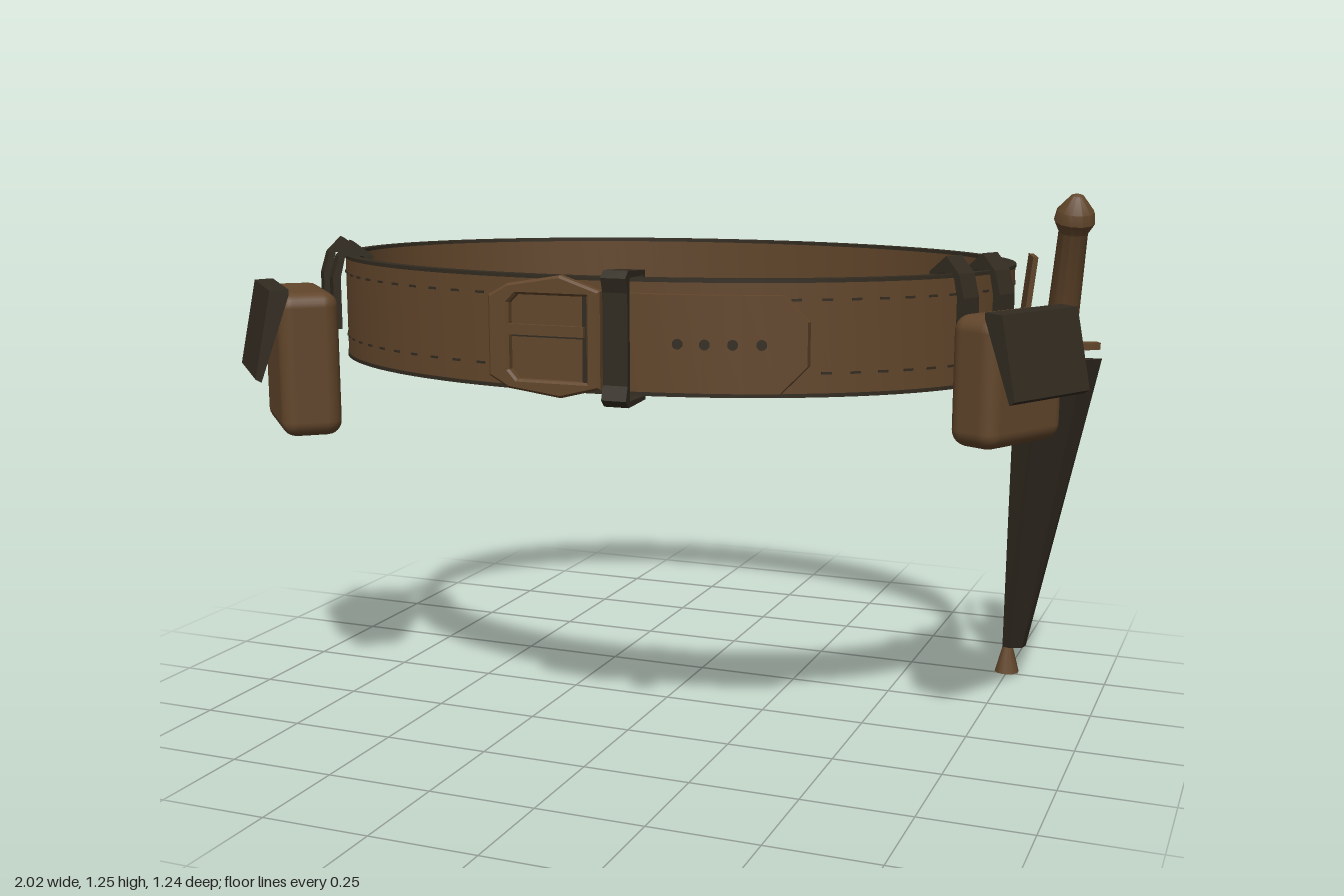
import * as THREE from 'three';
import { mergeGeometries, toCreasedNormals } from 'three/addons/utils/BufferGeometryUtils.js';
import { RoundedBoxGeometry } from 'three/addons/geometries/RoundedBoxGeometry.js';

const leather = new THREE.MeshStandardMaterial({ color: 0x62462b });
leather.name = 'brown leather';
const dark = new THREE.MeshStandardMaterial({ color: 0x322b20 });
dark.name = 'dark leather';

const BELT = { x: -0.01, z: -0.035, rx: 0.82, rz: 0.58, lo: 0.85, hi: 1.095 };

function add(parent, name, geometry, material, x = 0, y = 0, z = 0) {
  const mesh = new THREE.Mesh(geometry, material);
  mesh.name = name;
  mesh.position.set(x, y, z);
  parent.add(mesh);
  return mesh;
}

// Skin a list of equal-length rings and cap both ends
function loft(rings, crease = 0.5) {
  const n = rings[0].length, index = [];
  for (let s = 0; s < rings.length - 1; s++) {
    for (let i = 0; i < n; i++) {
      const a = s * n + i, b = s * n + (i + 1) % n;
      index.push(a, b, b + n, a, b + n, a + n);
    }
  }
  const end = (rings.length - 1) * n;
  for (let i = 1; i < n - 1; i++) index.push(0, i + 1, i, end, end + i, end + i + 1);
  const g = new THREE.BufferGeometry();
  g.setAttribute('position', new THREE.Float32BufferAttribute(rings.flat(2), 3));
  g.setIndex(index);
  return toCreasedNormals(g, crease);
}

// Elliptical band standing between two heights
function band(lo, hi, grow) {
  const shape = new THREE.Shape();
  shape.absellipse(0, 0, BELT.rx + grow, BELT.rz + grow, 0, Math.PI * 2);
  const hole = new THREE.Path();
  hole.absellipse(0, 0, BELT.rx - 0.02 - grow, BELT.rz - 0.02 - grow, 0, Math.PI * 2, true);
  shape.holes.push(hole);
  const g = new THREE.ExtrudeGeometry(shape, { depth: hi - lo, bevelEnabled: false, curveSegments: 48 });
  g.rotateX(-Math.PI / 2).translate(BELT.x, lo, BELT.z);
  return toCreasedNormals(g, 0.6);
}

const polygon = points => new THREE.Shape(points.map(p => new THREE.Vector2(...p)));

function makeBelt() {
  const belt = new THREE.Group();
  belt.name = 'belt';
  add(belt, 'beltBand', band(BELT.lo + 0.008, BELT.hi - 0.008, 0), leather);
  add(belt, 'upperEdging', band(BELT.hi - 0.008, BELT.hi, 0.002), dark);
  add(belt, 'lowerEdging', band(BELT.lo, BELT.lo + 0.008, 0.002), dark);

  // Two rows of stitches
  const stitches = [];
  for (const y of [0.9, 1.052]) {
    for (let i = 0; i < 72; i++) {
      const t = (i / 72) * Math.PI * 2;
      const g = new THREE.BoxGeometry(0.022, 0.005, 0.004);
      g.rotateY(Math.atan2(Math.cos(t) / BELT.rx, Math.sin(t) / BELT.rz));
      g.translate(BELT.x + BELT.rx * Math.cos(t), y, BELT.z + BELT.rz * Math.sin(t));
      stitches.push(g);
    }
  }
  add(belt, 'stitches', mergeGeometries(stitches), dark);
  return belt;
}

function makeBuckle() {
  const buckle = new THREE.Group();
  buckle.name = 'buckleAndTongue';

  // Overlapping belt end: x, z, half height
  const path = [[-0.13, 0.572, 0.09], [0, 0.57, 0.1], [0.12, 0.572, 0.1], [0.2, 0.568, 0.1],
    [0.3, 0.552, 0.1], [0.38, 0.529, 0.1], [0.45, 0.502, 0.1], [0.5, 0.478, 0.045]];
  add(buckle, 'tongue', loft(path.map(([x, z, h]) => [
    [x, 0.967 - h, z - 0.01], [x, 0.967 + h, z - 0.01],
    [x, 0.967 + h, z + 0.01], [x, 0.967 - h, z + 0.01]])), leather);

  // Punched holes
  for (const [x, z, turn] of [[0.25, 0.571, 0.16], [0.305, 0.562, 0.25], [0.36, 0.546, 0.28], [0.415, 0.526, 0.34]]) {
    const g = new THREE.CylinderGeometry(0.011, 0.011, 0.005, 12).rotateX(Math.PI / 2);
    add(buckle, 'punchHole', g, dark, x, 0.967, z).rotation.y = turn;
  }

  // Frame, cross bar and prong
  const frame = polygon([[-0.165, 0.885], [-0.12, 0.86], [0, 0.845], [0.09, 0.868],
    [0.09, 1.07], [0, 1.1], [-0.12, 1.08], [-0.165, 1.055]]);
  frame.holes.push(polygon([[-0.118, 0.9], [-0.118, 1.04], [-0.1, 1.058], [0.06, 1.058], [0.06, 0.88], [-0.1, 0.88]]));
  add(buckle, 'buckleFrame', new THREE.ExtrudeGeometry(frame, {
    depth: 0.016, bevelThickness: 0.005, bevelSize: 0.005, bevelOffset: -0.005, bevelSegments: 1 }), leather, 0, 0, 0.58);
  add(buckle, 'buckleBar', new THREE.BoxGeometry(0.012, 0.18, 0.012), dark, 0.055, 0.968, 0.587);
  add(buckle, 'buckleProng', new THREE.BoxGeometry(0.2, 0.022, 0.012), leather, -0.045, 0.985, 0.596);
  add(buckle, 'prongShadowLine', new THREE.BoxGeometry(0.17, 0.005, 0.006), dark, -0.032, 0.971, 0.583);

  // Keeper loop around both layers
  const loop = polygon([[0.515, 0.84], [0.605, 0.835], [0.62, 0.85], [0.61, 0.88], [0.61, 1.07], [0.62, 1.1], [0.605, 1.115], [0.515, 1.11]]);
  loop.holes.push(polygon([[0.523, 0.848], [0.523, 1.1], [0.598, 1.1], [0.598, 0.848]]));
  const g = new THREE.ExtrudeGeometry(loop, { depth: 0.055, bevelEnabled: false });
  add(buckle, 'keeperLoop', g.rotateY(-Math.PI / 2).translate(0.157, 0, 0), dark);
  return buckle;
}

// Pouch built facing +z, then turned outward from the belt
function makePouch(name, x, z, turn, width, depth, lo, flapLo) {
  const pouch = new THREE.Group();
  pouch.name = name;
  pouch.position.set(x, 0, z);
  pouch.rotation.y = turn;
  const hi = 1.022, front = depth / 2;
  add(pouch, 'pouchBody', new RoundedBoxGeometry(width, hi - lo, depth, 3, 0.035), leather, 0, (hi + lo) / 2, 0);

  // Flap hanging away from the front
  const flap = polygon([[front - 0.025, 1.02], [front + 0.045, flapLo], [front + 0.058, flapLo + 0.008],
    [front + 0.018, 1.03], [front - 0.025, 1.032]]);
  const g = new THREE.ExtrudeGeometry(flap, { depth: width, bevelEnabled: false });
  add(pouch, 'pouchFlap', g.rotateY(-Math.PI / 2).translate(width / 2, 0, 0), dark);

  // Two peaked hangers hooked over the belt
  const hook = polygon([[0.05, 0.93], [0.05, 1.05], [0.035, 1.1], [0, 1.135], [-0.045, 1.1],
    [-0.04, 1.06], [-0.028, 1.06], [-0.022, 1.1], [0.02, 1.1], [0.032, 1.05], [0.032, 0.93]]);
  for (const side of [-1, 1]) {
    const h = new THREE.ExtrudeGeometry(hook, { depth: 0.05, bevelEnabled: false });
    h.rotateY(-Math.PI / 2).translate(0.025, 0, 0);
    add(pouch, 'pouchHanger', h, dark, side * width * 0.235, 0, -front - 0.045);
  }
  return pouch;
}

function makeDagger() {
  const dagger = new THREE.Group();
  dagger.name = 'sheathedDagger';

  // Tapered lens-shaped sheath: centre, half width, half thickness
  const u = [0.885, -0.465], v = [-0.465, -0.885];
  const outline = [[1, 0], [0.5, 1], [-0.5, 1], [-1, 0], [-0.5, -1], [0.5, -1]];
  const ring = (cx, y, cz, w, t) => outline.map(([a, b]) =>
    [cx + a * w * u[0] + b * t * v[0], y, cz + a * w * u[1] + b * t * v[1]]);
  add(dagger, 'sheath', loft([ring(0.765, 0.07, -0.515, 0.031, 0.016),
    ring(0.885, 0.86, -0.268, 0.105, 0.024)], 0.3), dark);
  add(dagger, 'sheathTip', new THREE.CylinderGeometry(0.012, 0.031, 0.072, 10), leather, 0.748, 0.036, -0.518);

  // Guard, grip and pommel
  const guard = loft([[-0.1, 0.012], [-0.05, 0.024], [0.05, 0.024], [0.1, 0.012]].map(([x, w]) =>
    [[x, -0.008, -w], [x, 0.008, -w], [x, 0.008, w], [x, -0.008, w]]));
  add(dagger, 'guard', guard, leather, 0.885, 0.895, -0.235).rotation.y = Math.atan2(0.465, 0.885);
  const profile = [[0, -0.01], [0.038, -0.01], [0.033, 0.285], [0.046, 0.31], [0.042, 0.335], [0.014, 0.37], [0, 0.375]];
  const grip = new THREE.LatheGeometry(profile.map(p => new THREE.Vector2(...p)), 12);
  add(dagger, 'gripAndPommel', toCreasedNormals(grip, 0.6), leather, 0.888, 0.89, -0.24).quaternion
    .setFromUnitVectors(new THREE.Vector3(0, 1, 0), new THREE.Vector3(0.11, 0.965, 0.245).normalize());

  // Hanger strip against the belt
  add(dagger, 'sheathHanger', new THREE.BoxGeometry(0.012, 0.21, 0.06), leather, 0.81, 1.0, -0.238).rotation.set(0.08, 0.35, -0.12);
  return dagger;
}

export function createModel() {
  const model = new THREE.Group();
  model.name = 'utilityBelt';
  model.add(
    makeBelt(),
    makeBuckle(),
    makePouch('leftPouch', 0.855, 0.22, Math.atan2(0.885, 0.465), 0.25, 0.12, 0.745, 0.85),
    makePouch('rightPouch', -0.81, 0.325, Math.atan2(-0.75, 0.66), 0.3, 0.14, 0.685, 0.82),
    makeDagger(),
  );
  return model;
}
